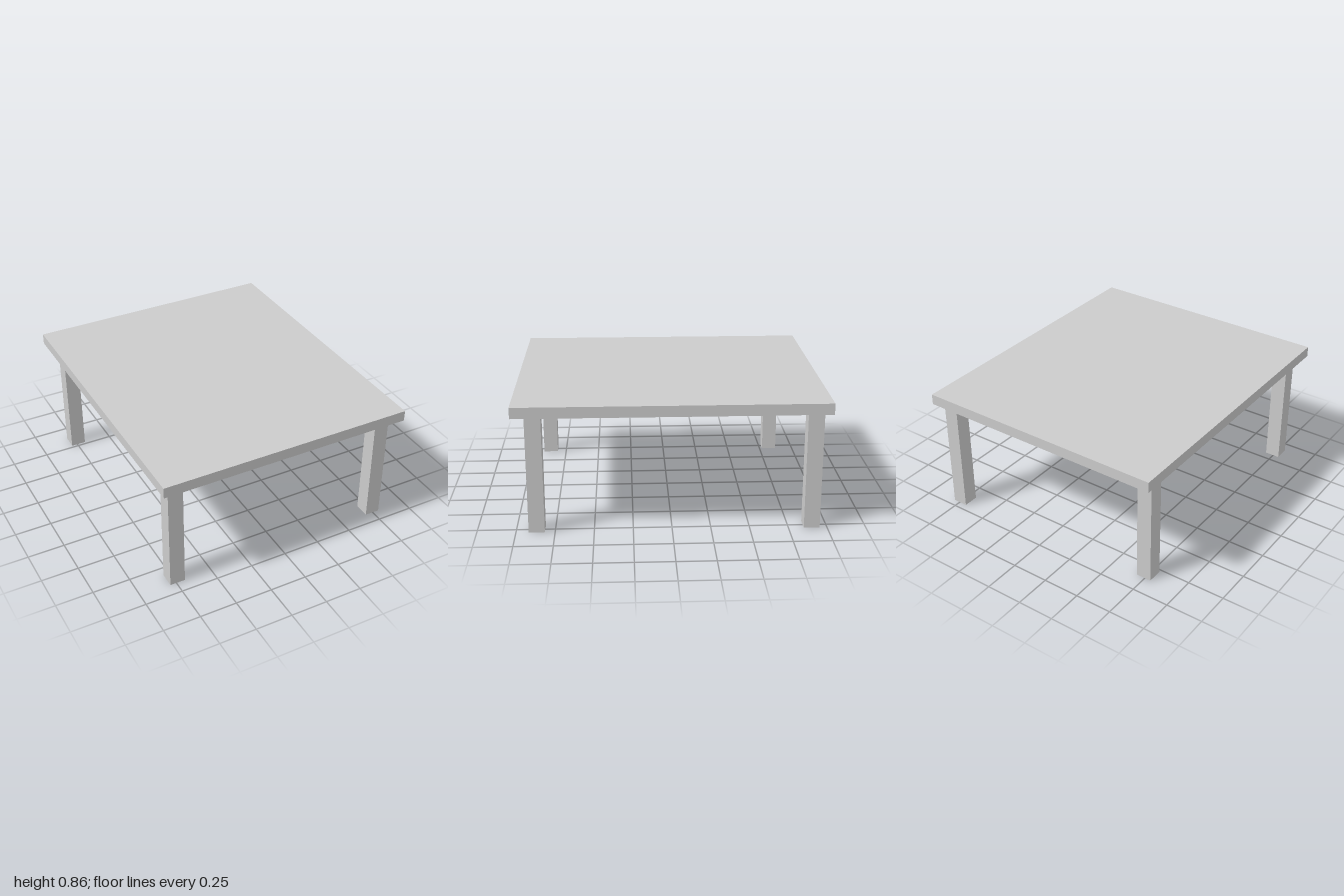
import * as THREE from 'three';

export function createModel() {
  const model = new THREE.Group();
  model.name = 'table';
  const material = new THREE.MeshStandardMaterial({ color: 0xcccccc, flatShading: true });

  const addBox = (name, [w, h, d], [x, y, z]) => {
    const mesh = new THREE.Mesh(new THREE.BoxGeometry(w, h, d), material);
    mesh.name = name;
    mesh.position.set(x, y, z);
    model.add(mesh);
  };

  // Slab top
  const legHeight = 0.785, topThickness = 0.072;
  addBox('tableTop', [1.71, topThickness, 2], [0, legHeight + topThickness / 2, 0]);

  // Square legs; the back pair is slightly staggered in depth
  const legs = {
    frontLeftLeg: [0.745, 0.867],
    frontRightLeg: [-0.741, 0.865],
    backLeftLeg: [0.745, -0.901],
    backRightLeg: [-0.741, -0.821],
  };
  for (const [name, [x, z]] of Object.entries(legs)) {
    addBox(name, [0.102, legHeight, 0.103], [x, legHeight / 2, z]);
  }

  return model;
}
